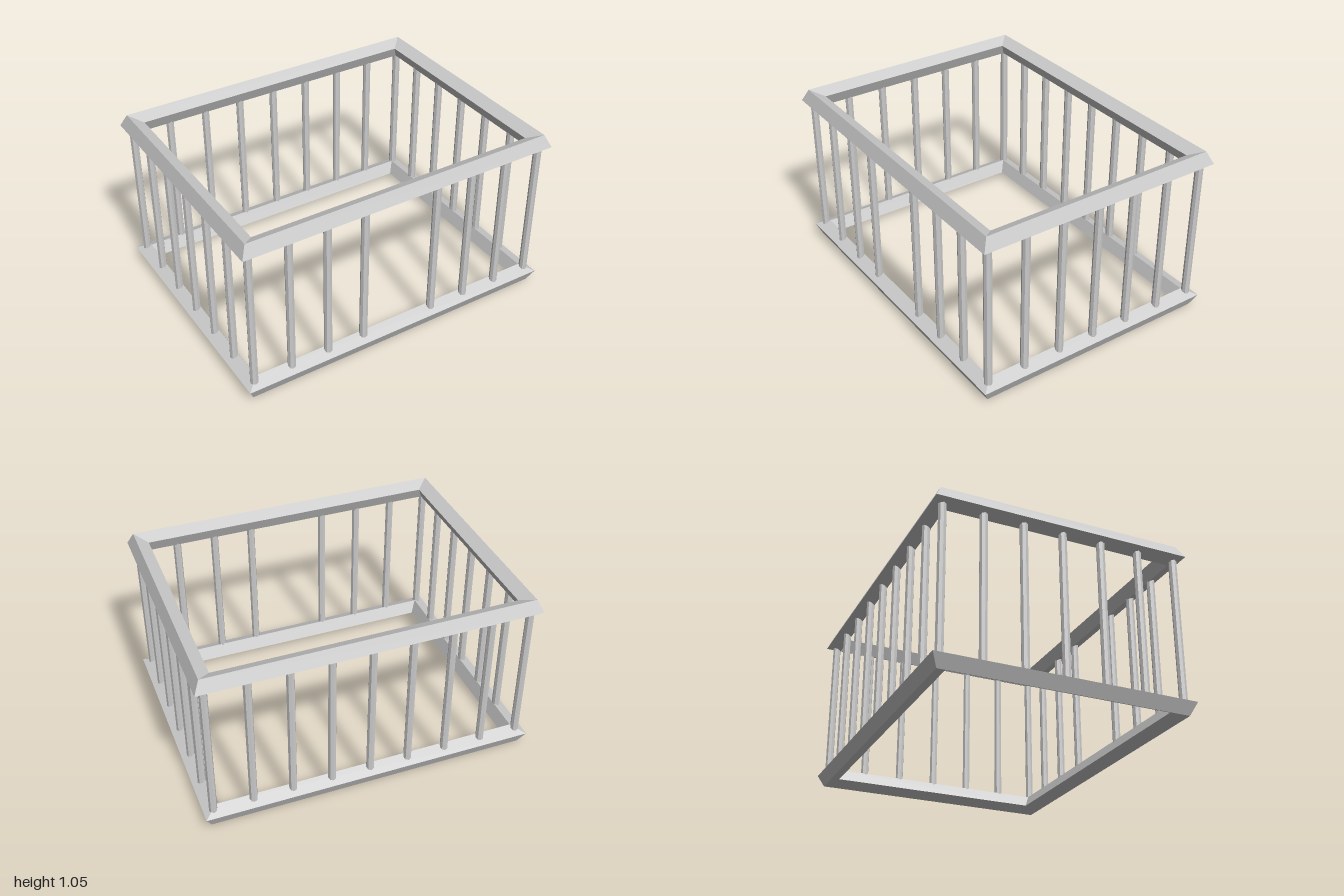
import * as THREE from 'three';

const HX = 0.945, HZ = 0.711; // half size of the rail centre line
const LOW = 0.0575, HIGH = 1.0025; // rail centre heights

// Mitred rectangular rail with a tilted square section; flip = -1 mirrors it vertically
function railGeometry(flip) {
  const section = [[0.055, -0.02], [0.02, 0.055], [-0.055, 0.02], [-0.02, -0.055]]
    .map(([out, y]) => [out, y * flip]);
  if (flip < 0) section.reverse();
  const corners = [[1, 1], [1, -1], [-1, -1], [-1, 1]];
  const point = (i, k) => {
    const [sx, sz] = corners[i % 4], [out, y] = section[k % 4];
    return [sx * (HX + out), y, sz * (HZ + out)];
  };
  const pos = [];
  for (let i = 0; i < 4; i++) {
    for (let k = 0; k < 4; k++) {
      const a = point(i, k), b = point(i, k + 1), c = point(i + 1, k + 1), d = point(i + 1, k);
      pos.push(...a, ...d, ...b, ...b, ...d, ...c);
    }
  }
  const geo = new THREE.BufferGeometry();
  geo.setAttribute('position', new THREE.Float32BufferAttribute(pos, 3));
  geo.computeVertexNormals();
  return geo;
}

export function createModel() {
  const group = new THREE.Group();
  const material = new THREE.MeshStandardMaterial({ color: 0xcccccc, flatShading: true });
  const add = (name, geometry, x, y, z) => {
    const mesh = new THREE.Mesh(geometry, material);
    mesh.name = name;
    mesh.position.set(x, y, z);
    group.add(mesh);
  };

  // Top and bottom rails
  add('topRail', railGeometry(1), 0, HIGH, 0);
  add('bottomRail', railGeometry(-1), 0, LOW, 0);

  // Bars, ending inside the rails
  const bar = new THREE.CylinderGeometry(0.024, 0.024, HIGH - LOW, 8);
  const midY = (HIGH + LOW) / 2;

  // Front and back rows; the front leaves out its middle bar
  for (let i = -4; i <= 4; i++) {
    const x = (i / 4) * HX;
    add('backBar', bar, x, midY, -HZ);
    if (i !== 0) add('frontBar', bar, x, midY, HZ);
  }

  // Side rows between the corner bars
  for (let i = -2; i <= 2; i++) {
    const z = (i / 3) * HZ;
    add('leftBar', bar, HX, midY, z);
    add('rightBar', bar, -HX, midY, z);
  }
  return group;
}
